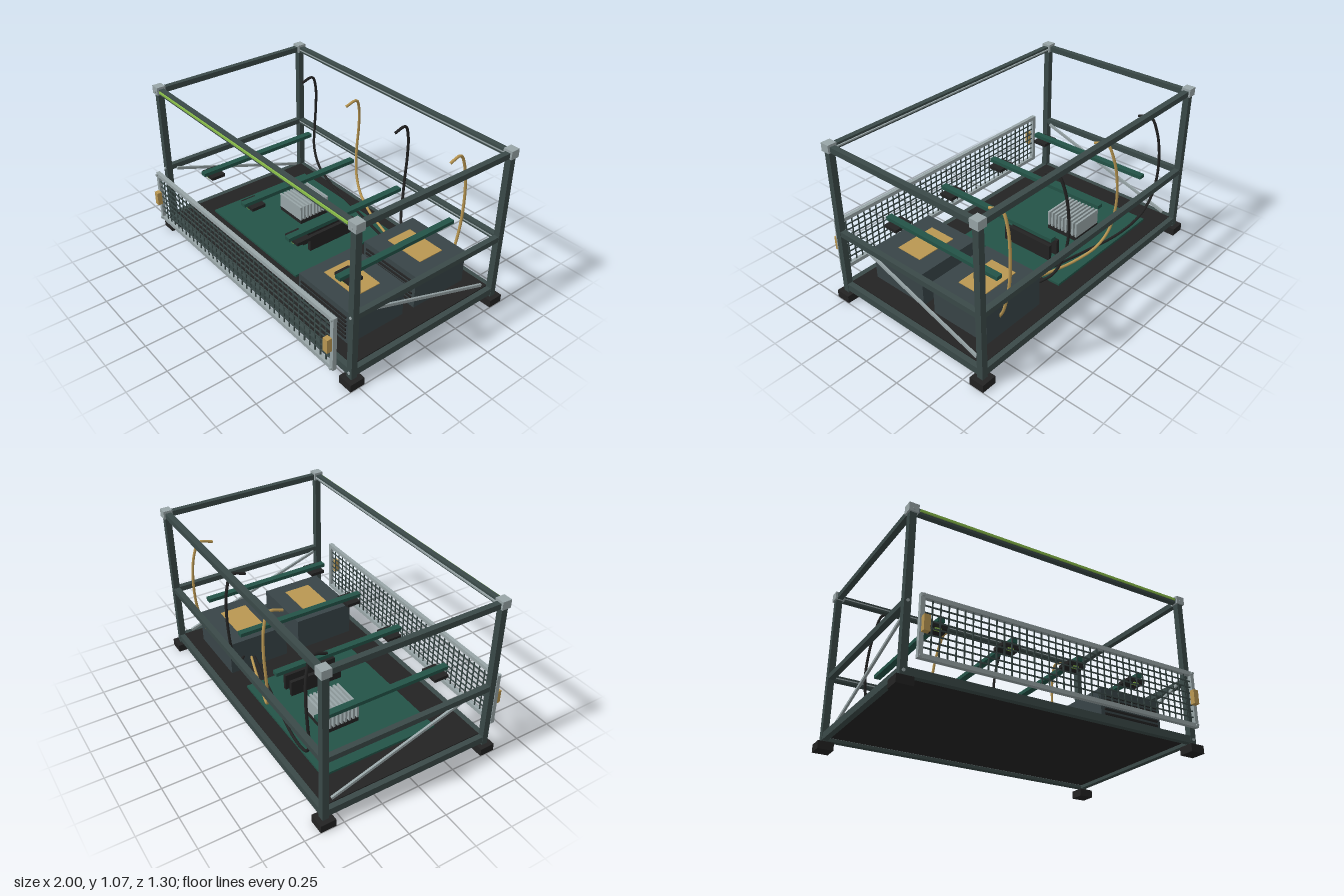
import * as THREE from 'three';

const mat = (name, color, opts = {}) => {
  const m = new THREE.MeshStandardMaterial({ color, ...opts });
  m.name = name;
  return m;
};

export function createModel() {
  const M = {
    rail: mat('dark slate', 0x3a4948),
    casing: mat('casing grey', 0x384447),
    black: mat('black', 0x232323),
    green: mat('board green', 0x235347),
    light: mat('light metal', 0x98a5a7),
    tan: mat('brass', 0xb99752),
    lime: mat('lime light', 0x8cc04a),
  };
  const model = new THREE.Group();
  model.name = 'openFrameRig';

  const group = (name, parent = model) => {
    const g = new THREE.Group();
    g.name = name;
    parent.add(g);
    return g;
  };
  // Box given by its extents on each axis
  const box = (parent, name, m, [x0, x1], [y0, y1], [z0, z1]) => {
    const b = new THREE.Mesh(new THREE.BoxGeometry(x1 - x0, y1 - y0, z1 - z0), m);
    b.position.set((x0 + x1) / 2, (y0 + y1) / 2, (z0 + z1) / 2);
    b.name = name;
    parent.add(b);
    return b;
  };
  const around = (c, size) => [c - size / 2, c + size / 2];
  const bolt = (parent, x, y, z) => {
    const b = new THREE.Mesh(new THREE.CylinderGeometry(0.009, 0.009, 0.01, 10), M.light);
    b.rotation.x = Math.PI / 2;
    b.position.set(x, y, z);
    b.name = 'bolt';
    parent.add(b);
  };

  // Frame: feet, posts, corner caps and rails
  const X = 0.95, ZF = 0.51, ZB = -0.6, R = 0.035;
  const levels = { bottom: 0.088, middle: 0.477, top: 1.04 };
  const frame = group('frame');
  for (const sx of [-X, X]) {
    for (const z of [ZF, ZB]) {
      box(frame, 'foot', M.black, around(sx, 0.098), [0, 0.05], around(z, 0.098));
      box(frame, 'post', M.rail, around(sx, 0.04), [0.05, 1.03], around(z, 0.04));
      box(frame, 'cornerCap', M.light, around(sx, 0.06), [1.02, 1.072], around(z, 0.06));
    }
    for (const y of Object.values(levels)) {
      const h = y === levels.bottom ? 0.046 : R;
      box(frame, 'sideRail', M.rail, around(sx, R), around(y, h), [ZB + 0.02, ZF - 0.02]);
      bolt(frame, sx, y, y === levels.top ? ZF + 0.03 : ZF + 0.021);
    }
    // Diagonal brace inside each flank
    const a = new THREE.Vector3(Math.sign(sx) * 0.922, 0.465, 0.46);
    const b = new THREE.Vector3(a.x, 0.135, -0.535);
    const brace = new THREE.Mesh(new THREE.BoxGeometry(0.014, 0.018, a.distanceTo(b)), M.light);
    brace.position.copy(a).add(b).multiplyScalar(0.5);
    brace.lookAt(a);
    brace.name = 'diagonalBrace';
    frame.add(brace);
  }
  const span = [-X + 0.02, X - 0.02];
  for (const [name, y] of Object.entries(levels)) {
    const h = name === 'bottom' ? 0.046 : R;
    box(frame, name + 'BackRail', M.rail, span, around(y, h), around(ZB, R + 0.003));
    box(frame, 'railStrip', M.light, span, around(y, 0.007), [ZB + 0.018, ZB + 0.022]);
    if (name !== 'middle')
      box(frame, name + 'FrontRail', M.rail, span, around(y, h), around(ZF, R));
  }
  box(frame, 'railStrip', M.light, span, around(levels.top, 0.008), [0.483, 0.493]);
  box(frame, 'lightStrip', M.lime, [-0.91, 0.91], around(1.045, 0.014), [0.527, 0.535]);
  box(frame, 'floorPan', M.black, [-0.93, 0.93], [0.085, 0.114], [-0.585, 0.49]);

  // Circuit board with heat sink and memory sticks
  const board = group('circuitBoard');
  box(board, 'boardPlate', M.green, [-0.76, 0.16], [0.125, 0.14], [-0.49, 0.29]);
  for (const x of [-0.72, 0.12]) for (const z of [-0.45, 0.25])
    box(board, 'standoff', M.light, around(x, 0.016), [0.113, 0.126], around(z, 0.016));
  box(board, 'heatSinkBase', M.black, [-0.485, -0.255], [0.14, 0.168], [-0.305, -0.07]);
  for (let i = 0; i < 9; i++)
    box(board, 'heatSinkFin', M.light, [-0.485, -0.255], [0.168, 0.27], around(-0.296 + i * 0.0275, 0.014));
  for (const x of [-0.068, 0.008])
    box(board, 'memoryStick', M.black, around(x, 0.024), [0.14, 0.247], [-0.3, 0.065]);

  // Two power units with top labels and front slats
  for (const z0 of [0, -0.5]) {
    const unit = group('powerUnit');
    box(unit, 'casing', M.casing, [0.355, 0.803], [0.112, 0.338], [z0, z0 + 0.41]);
    box(unit, 'label', M.tan, [0.44, 0.715], [0.338, 0.343], [z0 + 0.108, z0 + 0.292]);
    for (let i = 0; i < 6; i++)
      box(unit, 'ventSlat', M.black, [0.38, 0.78], around(0.15 + i * 0.029, 0.012), [z0 + 0.41, z0 + 0.418]);
  }

  // Raised card rails with a connector block and a small lamp
  for (const x of [-0.69, -0.23, 0.225, 0.682]) {
    const card = group('cardRail');
    box(card, 'railBar', M.green, around(x, 0.042), [0.488, 0.512], [-0.487, 0.395]);
    box(card, 'connector', M.black, around(x, 0.124), [0.468, 0.489], [0.268, 0.365]);
    box(card, 'lamp', M.lime, around(x, 0.035), [0.458, 0.468], [0.335, 0.36]);
  }

  // Hooked cables running from the rear unit
  const cables = group('cables');
  const cable = (m, x, bow, tail) => {
    const pts = [
      [x, 0.915, -0.42], [x, 0.935, -0.51], [x + bow * 0.3, 0.85, -0.55],
      [x + bow * 0.75, 0.7, -0.57], [x + bow, 0.52, -0.568], ...tail,
    ].map((p) => new THREE.Vector3(...p));
    const t = new THREE.Mesh(
      new THREE.TubeGeometry(new THREE.CatmullRomCurve3(pts), 64, 0.009, 8), m);
    t.name = 'cable';
    cables.add(t);
  };
  cable(M.black, -0.69, -0.047, [[-0.72, 0.36, -0.55], [-0.64, 0.25, -0.53],
    [-0.46, 0.19, -0.5], [-0.1, 0.18, -0.43], [0.37, 0.185, -0.33]]);
  cable(M.tan, -0.23, -0.048, [[-0.25, 0.35, -0.55], [-0.17, 0.25, -0.52],
    [-0.02, 0.2, -0.47], [0.18, 0.19, -0.41], [0.37, 0.19, -0.35]]);
  cable(M.black, 0.225, -0.032, [[0.205, 0.4, -0.55], [0.24, 0.28, -0.51],
    [0.3, 0.23, -0.46], [0.37, 0.21, -0.4]]);
  cable(M.tan, 0.68, 0.012, [[0.695, 0.4, -0.55], [0.695, 0.3, -0.525], [0.69, 0.235, -0.49]]);

  // Detached front mesh panel with handles
  const panel = group('frontPanel');
  const pz = [0.592, 0.618];
  for (const y of [0.143, 0.479])
    box(panel, 'panelBar', M.light, [-0.917, 0.917], around(y, 0.025), pz);
  for (const s of [-1, 1]) {
    box(panel, 'panelUpright', M.light, around(s * 0.9045, 0.025), [0.155, 0.467], pz);
    box(panel, 'handle', M.tan, around(s * 0.89, 0.036), [0.268, 0.358], [0.618, 0.65]);
    for (const y of [0.143, 0.479]) bolt(panel, s * 0.903, y, 0.623);
  }
  for (let i = 1; i < 38; i++)
    box(panel, 'meshWire', M.rail, around(-0.892 + i * (1.784 / 38), 0.007), [0.155, 0.467], [0.602, 0.608]);
  for (let i = 1; i < 8; i++)
    box(panel, 'meshWire', M.rail, [-0.892, 0.892], around(0.155 + i * 0.039, 0.007), [0.603, 0.609]);

  return model;
}
